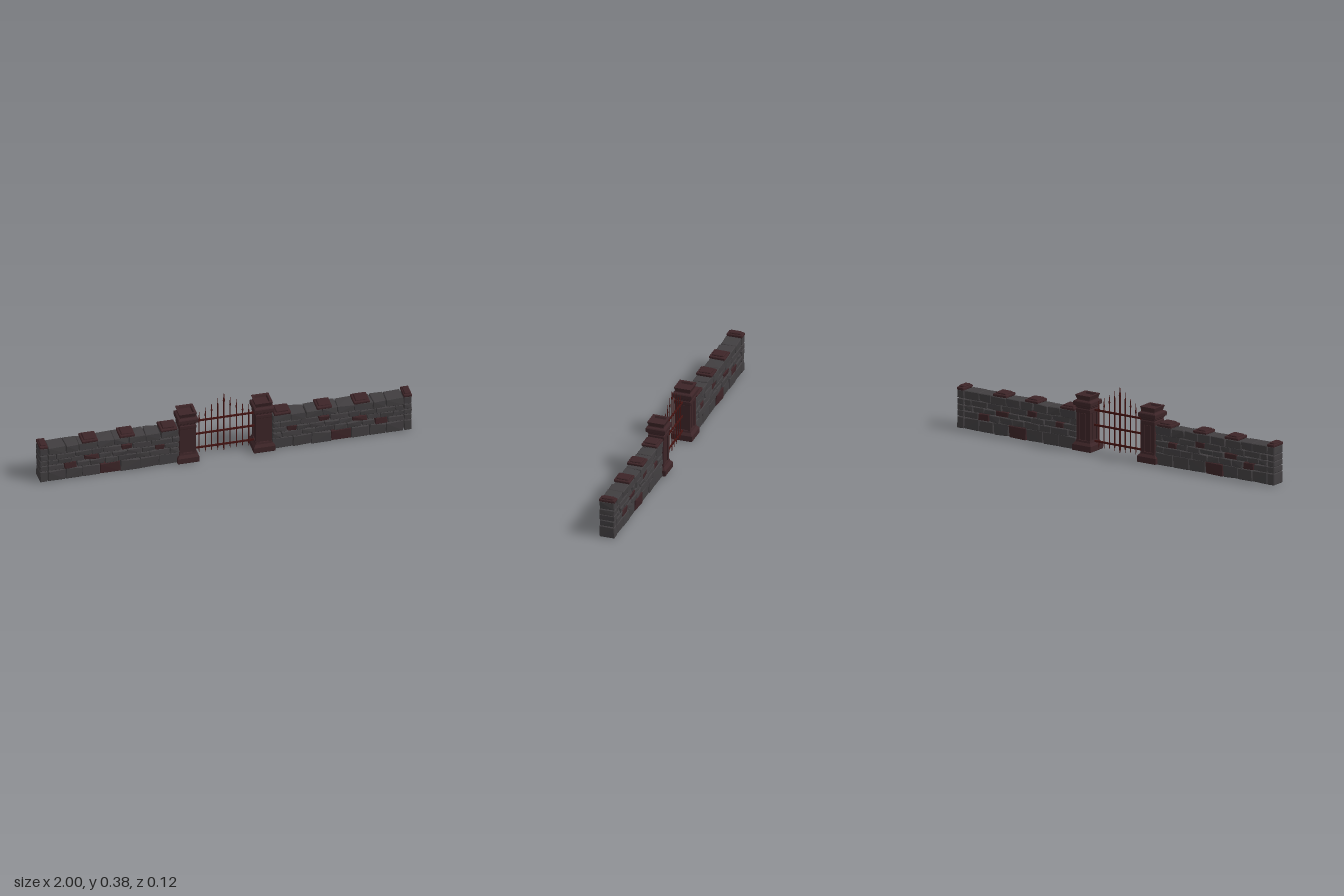
import * as THREE from 'three';
import { ConvexGeometry } from 'three/addons/geometries/ConvexGeometry.js';

const material = (color) => new THREE.MeshStandardMaterial({ color, flatShading: true });
const grey = material(0x413e40);
const brown = material(0x3c2427);
const iron = material(0x451412);

// Small seeded generator, restarted for each side so that both walls match
let seed = 1;
const rnd = () => {
  seed = (seed * 16807) % 2147483647;
  return seed / 2147483647 - 0.5;
};

function add(parent, name, geometry, mat, x = 0, y = 0, z = 0) {
  const mesh = new THREE.Mesh(geometry, mat);
  mesh.name = name;
  mesh.position.set(x, y, z);
  parent.add(mesh);
  return mesh;
}

// Chamfered block with slightly uneven corners
function stoneGeometry(w, h, d, jitter = 0.004, bevel = 0.003) {
  const points = [];
  for (const sx of [-1, 1]) for (const sy of [-1, 1]) for (const sz of [-1, 1]) {
    const x = sx * (w / 2 + rnd() * jitter);
    const y = sy * (h / 2 + rnd() * jitter);
    const z = sz * (d / 2 + rnd() * jitter);
    points.push(
      new THREE.Vector3(x, y - sy * bevel, z - sz * bevel),
      new THREE.Vector3(x - sx * bevel, y, z - sz * bevel),
      new THREE.Vector3(x - sx * bevel, y - sy * bevel, z));
  }
  return new ConvexGeometry(points);
}

// Courses: bottom, top, stone joints along x, indices of brown stones
const courses = [
  { y0: 0.004, y1: 0.067, x: [0.25, 0.36, 0.46, 0.565, 0.675, 0.77, 0.86, 0.955], brown: [3] },
  { y0: 0.068, y1: 0.102, x: [0.25, 0.3, 0.41, 0.48, 0.58, 0.65, 0.73, 0.8, 0.87, 0.955], brown: [7] },
  { y0: 0.103, y1: 0.133, x: [0.25, 0.33, 0.38, 0.45, 0.53, 0.61, 0.68, 0.76, 0.83, 0.9, 0.955], brown: [1, 6] },
  { y0: 0.134, y1: 0.166, x: [0.25, 0.29, 0.4, 0.5, 0.56, 0.66, 0.72, 0.81, 0.91, 0.955], brown: [3] },
  { y0: 0.167, y1: 0.21, x: [0.25, 0.35, 0.43, 0.52, 0.6, 0.69, 0.79, 0.86, 0.955], brown: [] },
];
const caps = [[0.305, 0.09], [0.53, 0.082], [0.73, 0.085], [0.978, 0.044]];

function createWall(side) {
  const wall = new THREE.Group();
  wall.name = side > 0 ? 'leftWall' : 'rightWall';
  seed = 4711;
  for (const c of courses) {
    const y = (c.y0 + c.y1) / 2, h = c.y1 - c.y0;
    for (let i = 0; i < c.x.length - 1; i++) {
      const x = (c.x[i] + c.x[i + 1]) / 2, w = c.x[i + 1] - c.x[i];
      const red = c.brown.includes(i);
      add(wall, 'wallStone', stoneGeometry(w - 0.002, h, 0.082 + rnd() * 0.006, 0.006),
        red ? brown : grey, side * x, y, rnd() * 0.003);
    }
    // End column
    add(wall, 'endStone', stoneGeometry(0.041, h - 0.001, 0.082, 0.003), grey, side * 0.978, y);
  }
  // Stepped coping stones
  for (const [x, w] of caps) {
    add(wall, 'capStone', stoneGeometry(w, 0.015, 0.087, 0.002), brown, side * x, 0.217);
    add(wall, 'capStoneTop', stoneGeometry(w * 0.72, 0.013, 0.064, 0.002), brown, side * x, 0.226);
  }
  return wall;
}

// Square profile given as [half width, height]
function squareLathe(profile) {
  const points = profile.map(([r, y]) => new THREE.Vector2(r * Math.SQRT2, y));
  return new THREE.LatheGeometry(points, 4, Math.PI / 4);
}

function createPillar(side) {
  const pillar = new THREE.Group();
  pillar.name = side > 0 ? 'leftPillar' : 'rightPillar';
  pillar.position.x = side * 0.204;
  add(pillar, 'pillarBase', squareLathe([
    [0, 0.004], [0.056, 0.004], [0.058, 0.007], [0.058, 0.036], [0.046, 0.05], [0.044, 0.06], [0, 0.06],
  ]), brown);
  add(pillar, 'pillarShaft', new THREE.BoxGeometry(0.075, 0.16, 0.075), brown, 0, 0.135);
  // Corner posts and a raised strip on each face
  for (let i = 0; i < 4; i++) {
    const face = new THREE.Group();
    face.name = 'shaftFace';
    face.rotation.y = i * Math.PI / 2;
    add(face, 'cornerPost', new THREE.BoxGeometry(0.018, 0.155, 0.018), brown, 0.0335, 0.135, 0.0335);
    add(face, 'raisedStrip', new THREE.BoxGeometry(0.026, 0.14, 0.006), brown, 0, 0.135, 0.038);
    pillar.add(face);
  }
  // Moulded capital with a sunken top
  add(pillar, 'pillarCapital', squareLathe([
    [0, 0.207], [0.043, 0.207], [0.044, 0.212], [0.044, 0.227], [0.041, 0.231], [0.041, 0.234],
    [0.045, 0.238], [0.045, 0.244], [0.052, 0.247], [0.054, 0.25], [0.054, 0.267], [0.051, 0.272],
    [0.041, 0.276], [0.04, 0.28], [0.047, 0.303], [0.034, 0.303], [0.03, 0.292], [0, 0.292],
  ]), brown);
  return pillar;
}

function createGate() {
  const gate = new THREE.Group();
  gate.name = 'gate';
  for (const y of [0.055, 0.142, 0.223]) {
    add(gate, 'rail', new THREE.BoxGeometry(0.325, 0.01, 0.006), iron, 0, y);
  }
  // Upright bars pointed at both ends, rising toward the middle
  const tops = [0.378, 0.348, 0.328, 0.303, 0.282];
  for (let i = -4; i <= 4; i++) {
    const top = tops[Math.abs(i)];
    const r = i === 0 ? 0.0042 : 0.003;
    const bottom = i === 0 ? 0.01 : 0.02;
    const profile = [
      [0, bottom], [r, bottom + 0.018], [r, top - 0.06], [r * 1.7, top - 0.052],
      [r * 1.1, top - 0.042], [r * 0.6, top - 0.02], [0, top],
    ].map(([x, y]) => new THREE.Vector2(x, y));
    add(gate, 'spikedBar', new THREE.LatheGeometry(profile, 6), iron, i * 0.0333).scale.z = 0.8;
  }
  return gate;
}

export function createModel() {
  const model = new THREE.Group();
  model.name = 'gatedStoneWall';
  for (const side of [-1, 1]) model.add(createWall(side), createPillar(side));
  model.add(createGate());
  return model;
}
